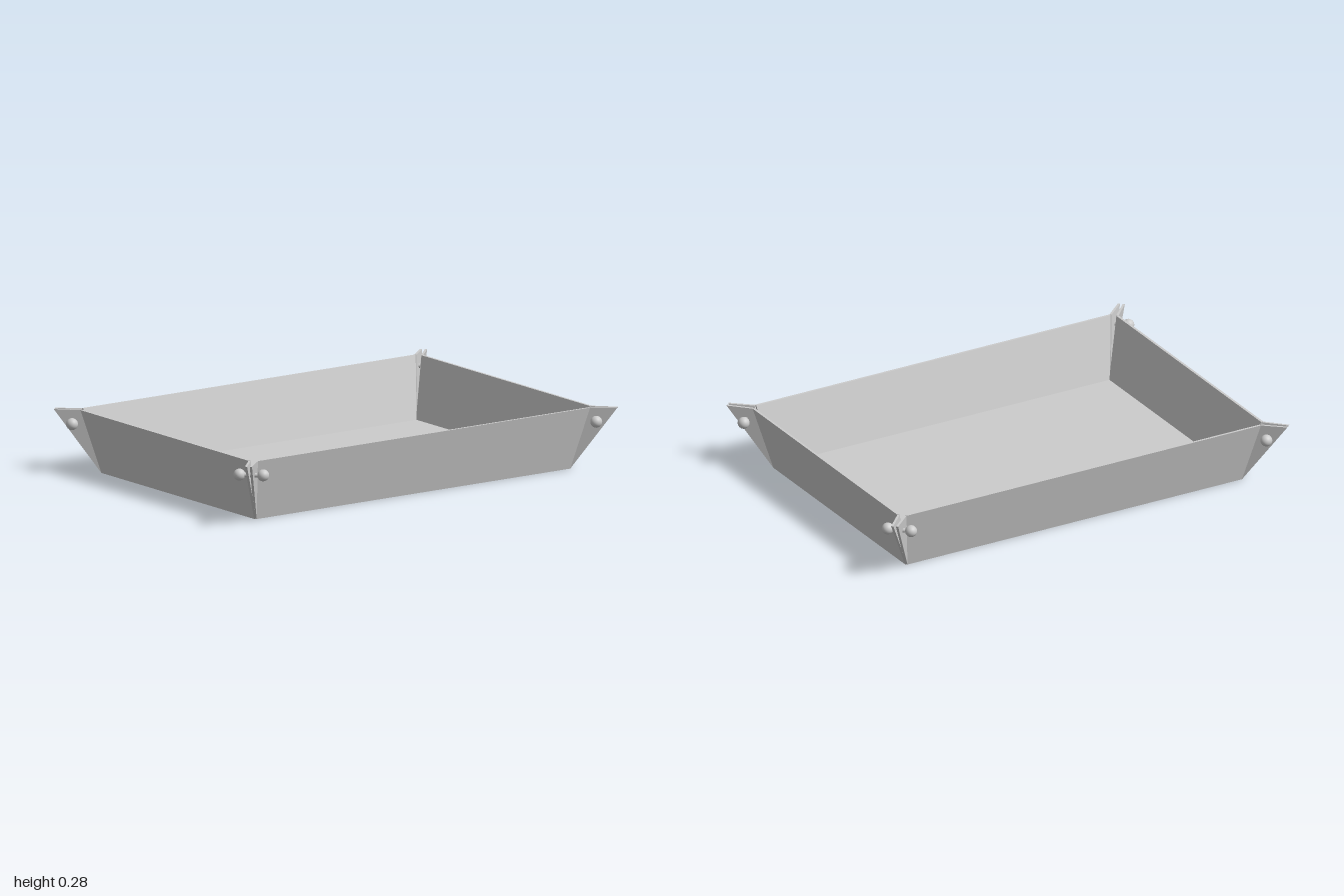
import * as THREE from 'three';

const BX = 0.846, BZ = 0.567;   // half size of the floor
const TX = 0.917, TZ = 0.644;   // half size at the rim
const H = 0.277, T = 0.011;     // wall height, sheet thickness

const material = new THREE.MeshStandardMaterial({ color: 0xcccccc });
const V = (x, y, z) => new THREE.Vector3(x, y, z);

// Closed flat-sided sheet between an outer loop and the same loop moved by an offset
function sheet(name, outer, offset) {
  let a = outer, b = outer.map((p) => p.clone().add(offset));
  const normal = a[1].clone().sub(a[0]).cross(a[2].clone().sub(a[0]));
  if (normal.dot(offset) > 0) { a = [...a].reverse(); b = [...b].reverse(); }
  const pts = [], n = a.length;
  for (let i = 1; i < n - 1; i++) pts.push(a[0], a[i], a[i + 1], b[0], b[i + 1], b[i]);
  for (let i = 0; i < n; i++) {
    const j = (i + 1) % n;
    pts.push(a[i], b[i], b[j], a[i], b[j], a[j]);
  }
  const geometry = new THREE.BufferGeometry().setFromPoints(pts);
  geometry.computeVertexNormals();
  const mesh = new THREE.Mesh(geometry, material);
  mesh.name = name;
  return mesh;
}

// Pinched corner: two flaps side by side, held by a double-ended stud
function corner(sx, sz) {
  const group = new THREE.Group();
  group.name = 'corner';
  const P = (x, y, z) => V(sx * x, y, sz * z);
  const t = 0.007;
  group.add(
    sheet('longWallFlap', [P(BX - 0.008, 0, BZ), P(0.888, H, TZ), P(0.975, H, 0.72)], P(t, 0, -t)),
    sheet('shortWallFlap', [P(BX, 0, BZ - 0.008), P(TX, H, 0.615), P(0.998, H, 0.699)], P(-t, 0, t)),
  );

  const stud = new THREE.Group();
  stud.name = 'stud';
  const rod = new THREE.Mesh(new THREE.CylinderGeometry(0.01, 0.01, 0.1, 16), material);
  rod.name = 'studRod';
  stud.add(rod);
  for (const side of [-1, 1]) {
    const ball = new THREE.Mesh(new THREE.SphereGeometry(0.026, 24, 16), material);
    ball.name = 'studBall';
    ball.position.y = side * 0.052;
    stud.add(ball);
  }
  stud.position.copy(P(0.927, 0.222, 0.649));
  stud.quaternion.setFromUnitVectors(V(0, 1, 0), P(1, 0, -1).normalize());
  group.add(stud);
  return group;
}

export function createModel() {
  const tray = new THREE.Group();
  tray.name = 'tray';

  const floor = new THREE.Mesh(new THREE.BoxGeometry(2 * BX - 0.004, T, 2 * BZ - 0.004), material);
  floor.name = 'floor';
  floor.position.y = T / 2;
  tray.add(floor);

  // Leaning walls
  for (const s of [-1, 1]) {
    const bx = BX - 0.008, tx = 0.888, bz = BZ - 0.008, tz = 0.615;
    tray.add(
      sheet('longWall', [V(-bx, 0, s * BZ), V(bx, 0, s * BZ), V(tx, H, s * TZ), V(-tx, H, s * TZ)], V(0, 0, -s * T)),
      sheet('shortWall', [V(s * BX, 0, -bz), V(s * BX, 0, bz), V(s * TX, H, tz), V(s * TX, H, -tz)], V(-s * T, 0, 0)),
    );
  }

  for (const sx of [-1, 1]) for (const sz of [-1, 1]) tray.add(corner(sx, sz));
  return tray;
}
